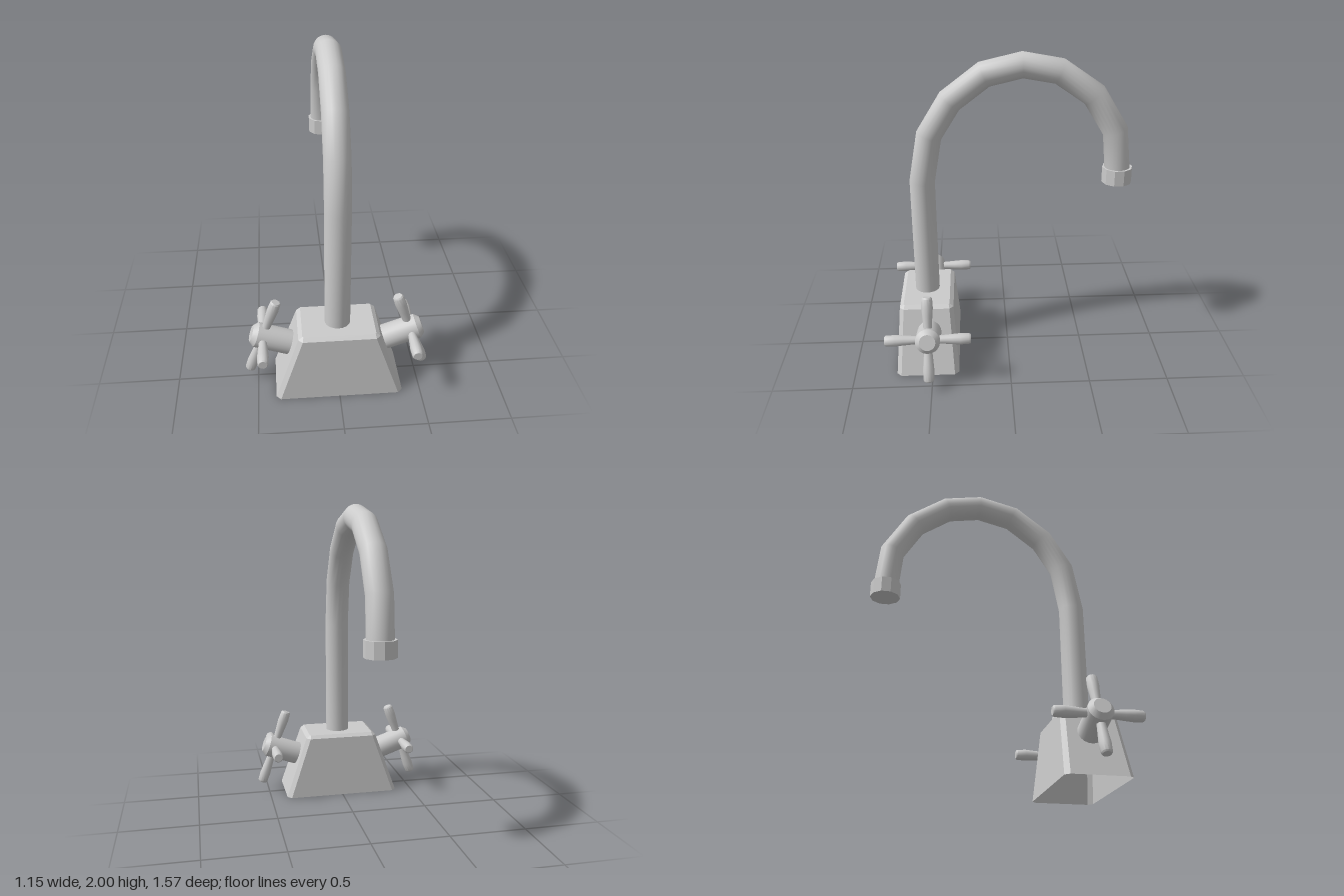
import * as THREE from 'three';
import { toCreasedNormals } from 'three/addons/utils/BufferGeometryUtils.js';

const metal = new THREE.MeshStandardMaterial({ color: 0xcccccc });
const openMetal = new THREE.MeshStandardMaterial({ color: 0xcccccc, side: THREE.DoubleSide });
const facetMetal = new THREE.MeshStandardMaterial({ color: 0xcccccc, side: THREE.DoubleSide, flatShading: true });

function part(name, geometry, material = metal) {
  const mesh = new THREE.Mesh(geometry, material);
  mesh.name = name;
  return mesh;
}

// Turned piece from [radius, height] pairs, listed bottom to top
function turned(profile, sides) {
  const points = profile.map(([r, y]) => new THREE.Vector2(r, y));
  return toCreasedNormals(new THREE.LatheGeometry(points, sides), 0.6);
}

// Tapered block with chamfered corners, open underneath
function baseGeometry() {
  const rings = [[0, 0.39, 0.2, 0.028], [0.41, 0.247, 0.172, 0.026], [0.43, 0.222, 0.147, 0.006]].map(([y, w, d, c]) =>
    [[w, -d + c], [w, d - c], [w - c, d], [c - w, d], [-w, d - c], [-w, c - d], [c - w, -d], [w - c, -d]]
      .map(([x, z]) => [x, y, z]));
  const positions = [];
  const n = 8;
  for (let i = 0; i < n; i++) {
    const j = (i + 1) % n;
    for (let k = 0; k < rings.length - 1; k++) {
      const [low, high] = [rings[k], rings[k + 1]];
      positions.push(...low[j], ...low[i], ...high[i], ...low[j], ...high[i], ...high[j]);
    }
    const top = rings[rings.length - 1];
    positions.push(0, 0.43, 0, ...top[j], ...top[i]);
  }
  const geometry = new THREE.BufferGeometry();
  geometry.setAttribute('position', new THREE.Float32BufferAttribute(positions, 3));
  geometry.computeVertexNormals();
  return geometry;
}

// Straight segments with mitred joints
class SegmentedPath extends THREE.Curve {
  constructor(points) {
    super();
    this.points = points;
  }
  getPointAt(u) {
    return this.points[Math.round(u * (this.points.length - 1))].clone();
  }
  getTangentAt(u) {
    const last = this.points.length - 1;
    const i = Math.round(u * last);
    const p = this.points;
    const before = p[Math.max(i, 1)].clone().sub(p[Math.max(i, 1) - 1]).normalize();
    const next = Math.min(i, last - 1);
    const after = p[next + 1].clone().sub(p[next]).normalize();
    return before.add(after).normalize();
  }
}

function spoutGeometry() {
  const points = [
    [0.42, 0.532], [1.195, 0.532], [1.495, 0.478], [1.71, 0.345], [1.868, 0.138], [1.922, -0.09],
    [1.882, -0.31], [1.735, -0.523], [1.508, -0.663], [1.25, -0.69],
  ].map(([y, z]) => new THREE.Vector3(0, y, z));
  return new THREE.TubeGeometry(new SegmentedPath(points), points.length - 1, 0.079, 20, false);
}

// Cross handle: local y is the stem axis, the arms cross at the origin
function handle(side) {
  const group = new THREE.Group();
  group.name = side > 0 ? 'leftHandle' : 'rightHandle';
  group.add(part('stem', turned([[0, -0.18], [0.077, -0.18], [0.077, 0.045], [0.05, 0.075], [0, 0.075]], 20)));
  const arm = turned([[0.025, 0.05], [0.027, 0.09], [0.032, 0.15], [0.036, 0.2], [0.033, 0.258], [0.026, 0.267], [0, 0.267]], 12);
  arm.rotateX(Math.PI / 2);
  for (let i = 0; i < 4; i++) {
    const mesh = part('handleArm', arm);
    mesh.rotation.y = i * Math.PI / 2;
    group.add(mesh);
  }
  group.position.set(side * 0.46, 0.326, 0.515);
  group.rotation.z = -side * THREE.MathUtils.degToRad(70.5);
  return group;
}

export function createModel() {
  const model = new THREE.Group();
  model.name = 'tap';

  const base = part('base', baseGeometry(), facetMetal);
  base.position.z = 0.53;
  model.add(base);

  model.add(part('spout', spoutGeometry(), openMetal));

  // Faceted collar at the spout's end
  const nozzle = part('nozzle', new THREE.CylinderGeometry(0.095, 0.095, 0.1, 10), facetMetal);
  nozzle.position.set(0, 1.22, -0.69);
  model.add(nozzle);

  model.add(handle(1), handle(-1));
  return model;
}
